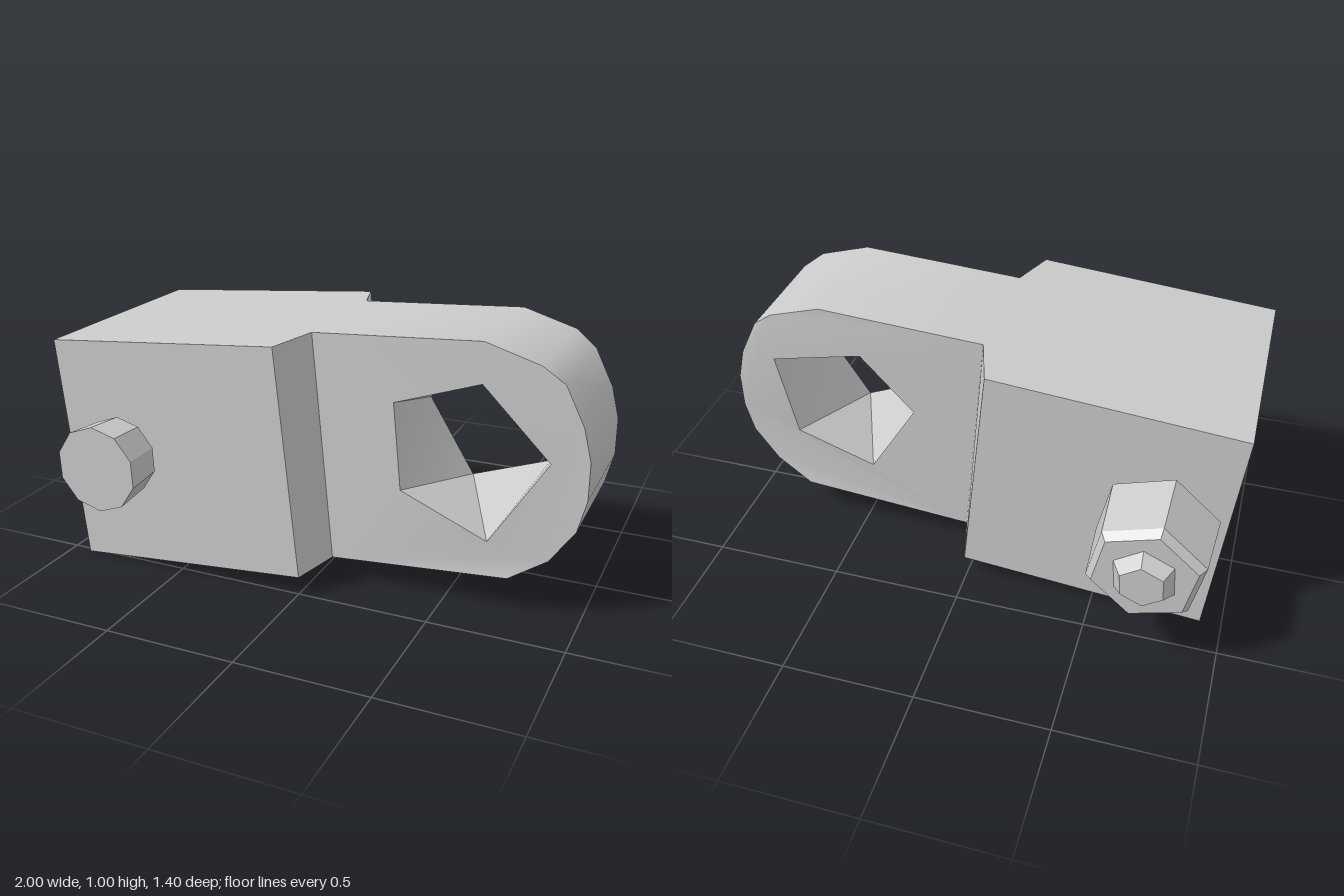
import * as THREE from 'three';
import { toCreasedNormals } from 'three/addons/utils/BufferGeometryUtils.js';

const V = (x, y, z) => new THREE.Vector3(x, y, z);

// Collects planar faces (with holes) whose corners are turned towards a given outward direction.
function faceBuilder() {
  const pos = [];
  const face = (points, out, holes = []) => {
    const a = [Math.abs(out.x), Math.abs(out.y), Math.abs(out.z)];
    const axis = a.indexOf(Math.max(...a));
    const flat = (p) => axis === 0 ? new THREE.Vector2(p.y, p.z)
      : axis === 1 ? new THREE.Vector2(p.z, p.x) : new THREE.Vector2(p.x, p.y);
    const all = [points, ...holes].flat();
    const tris = THREE.ShapeUtils.triangulateShape(points.map(flat), holes.map((h) => h.map(flat)));
    for (const [i, j, k] of tris) {
      const t = [all[i], all[j], all[k]];
      const n = t[1].clone().sub(t[0]).cross(t[2].clone().sub(t[0]));
      if (n.dot(out) < 0) t.reverse();
      t.forEach((p) => pos.push(p.x, p.y, p.z));
    }
  };
  const build = () => {
    const g = new THREE.BufferGeometry();
    g.setAttribute('position', new THREE.Float32BufferAttribute(pos, 3));
    return toCreasedNormals(g, 0.5);
  };
  return { face, build };
}

function bodyGeometry() {
  const { face, build } = faceBuilder();
  const at = (pts, z) => pts.map(([x, y]) => V(x, y, z));

  // outlines seen from the front: wide block, and thin tongue with a rounded tip
  const block = [[-1, 0.87], [-0.92, 0], [0.01, 0.08], [-0.075, 0.95]];
  const tongue = [[-0.015, 0.96], [0.62, 1.0], [0.82, 0.94], [0.9, 0.88], [0.97, 0.74], [1, 0.62],
    [1, 0.48], [0.97, 0.36], [0.88, 0.23], [0.74, 0.14], [0.06, 0.085]];
  const blockF = at(block, 0.52), blockB = at(block, -0.36);
  const tongueF = tongue.map(([x, y]) => V(x, y, x > 0.85 ? 0.315 : 0.33));
  const tongueB = tongue.map(([x, y]) => V(x, y, x > 0.85 ? -0.155 : -0.17));
  const last = tongue.length - 1;

  // eye hole: two pentagons twisted against each other
  const eyeF = at([[0.3, 0.74], [0.62, 0.85], [0.87, 0.6], [0.66, 0.27], [0.33, 0.41]], 0.33);
  const eyeB = at([[0.47, 0.82], [0.83, 0.74], [0.76, 0.41], [0.45, 0.3], [0.265, 0.6]], -0.17);
  const inward = (...p) => V(0.57, 0.57, 0).sub(p.reduce((s, q) => s.add(q), V(0, 0, 0)).divideScalar(p.length)).setZ(0);
  for (let i = 0; i < 5; i++) {
    const j = (i + 1) % 5;
    face([eyeF[i], eyeF[j], eyeB[i]], inward(eyeF[i], eyeF[j], eyeB[i]));
    face([eyeF[j], eyeB[i], eyeB[j]], inward(eyeF[j], eyeB[i], eyeB[j]));
  }

  // flat sides
  face(blockF, V(0, 0, 1));
  face(blockB, V(0, 0, -1));
  face(tongueF, V(0, 0, 1), [eyeF]);
  face(tongueB, V(0, 0, -1), [eyeB]);

  // rim of the tongue
  for (let i = 0; i < last; i++) {
    const out = inward(tongueF[i], tongueF[i + 1]).negate();
    if (i === 0) out.set(0, 1, 0);
    if (i === last - 1) out.set(0, -1, 0);
    face([tongueF[i], tongueF[i + 1], tongueB[i + 1], tongueB[i]], out);
  }

  // block top, bottom and slanted shoulders
  face([blockF[0], blockF[3], tongueF[0], tongueB[0], blockB[3], blockB[0]], V(0, 1, 0));
  face([blockF[1], blockF[2], tongueF[last], tongueB[last], blockB[2], blockB[1]], V(0, -1, 0));
  face([blockF[3], blockF[2], tongueF[last], tongueF[0]], V(0.9, 0, 0.3));
  face([blockB[3], blockB[2], tongueB[last], tongueB[0]], V(0.9, 0, -0.3));

  // end face with a five-sided socket
  const yz = [[0.55, -0.1], [0.635, 0.29], [0.32, 0.39], [0.12, 0.26], [0.24, -0.09]];
  const mouth = yz.map(([y, z]) => V(-0.92 - 0.092 * y, y, z));
  const floor = mouth.map((p) => V(p.x + 0.4, p.y + 0.03, p.z));
  face([blockF[0], blockF[1], blockB[1], blockB[0]], V(-1, 0, 0), [mouth]);
  face(floor, V(-1, 0, 0));
  for (let i = 0; i < 5; i++) {
    const j = (i + 1) % 5;
    const mid = mouth[i].clone().add(mouth[j]).multiplyScalar(0.5);
    face([mouth[i], mouth[j], floor[j], floor[i]], V(0, 0.37 - mid.y, 0.15 - mid.z));
  }
  return build();
}

export function createModel() {
  const group = new THREE.Group();
  const smooth = new THREE.MeshStandardMaterial({ color: 0xcccccc });
  const faceted = new THREE.MeshStandardMaterial({ color: 0xcccccc, flatShading: true });

  const body = new THREE.Mesh(bodyGeometry(), smooth);
  body.name = 'linkBody';
  group.add(body);

  // prism along z from z0 (radius r0) to z1 (radius r1), z1 > z0, first corner at the given angle
  const prism = (name, r0, r1, z0, z1, sides, degrees) => {
    const geo = new THREE.CylinderGeometry(r1, r0, z1 - z0, sides);
    geo.rotateX(Math.PI / 2);
    geo.rotateZ(THREE.MathUtils.degToRad(degrees + 90));
    const mesh = new THREE.Mesh(geo, faceted);
    mesh.position.set(-0.72, 0.455, (z0 + z1) / 2);
    mesh.name = name;
    group.add(mesh);
  };
  prism('boltHead', 0.152, 0.165, 0.54, 0.7, 10, 20);
  prism('boltNeck', 0.13, 0.13, 0.5, 0.545, 10, 20);
  prism('nutWasher', 0.18, 0.18, -0.385, -0.35, 6, 42);
  prism('nut', 0.215, 0.228, -0.62, -0.38, 6, 42);
  prism('nutBevel', 0.19, 0.215, -0.65, -0.62, 6, 42);
  prism('boltTip', 0.085, 0.12, -0.7, -0.65, 6, 25);
  return group;
}
